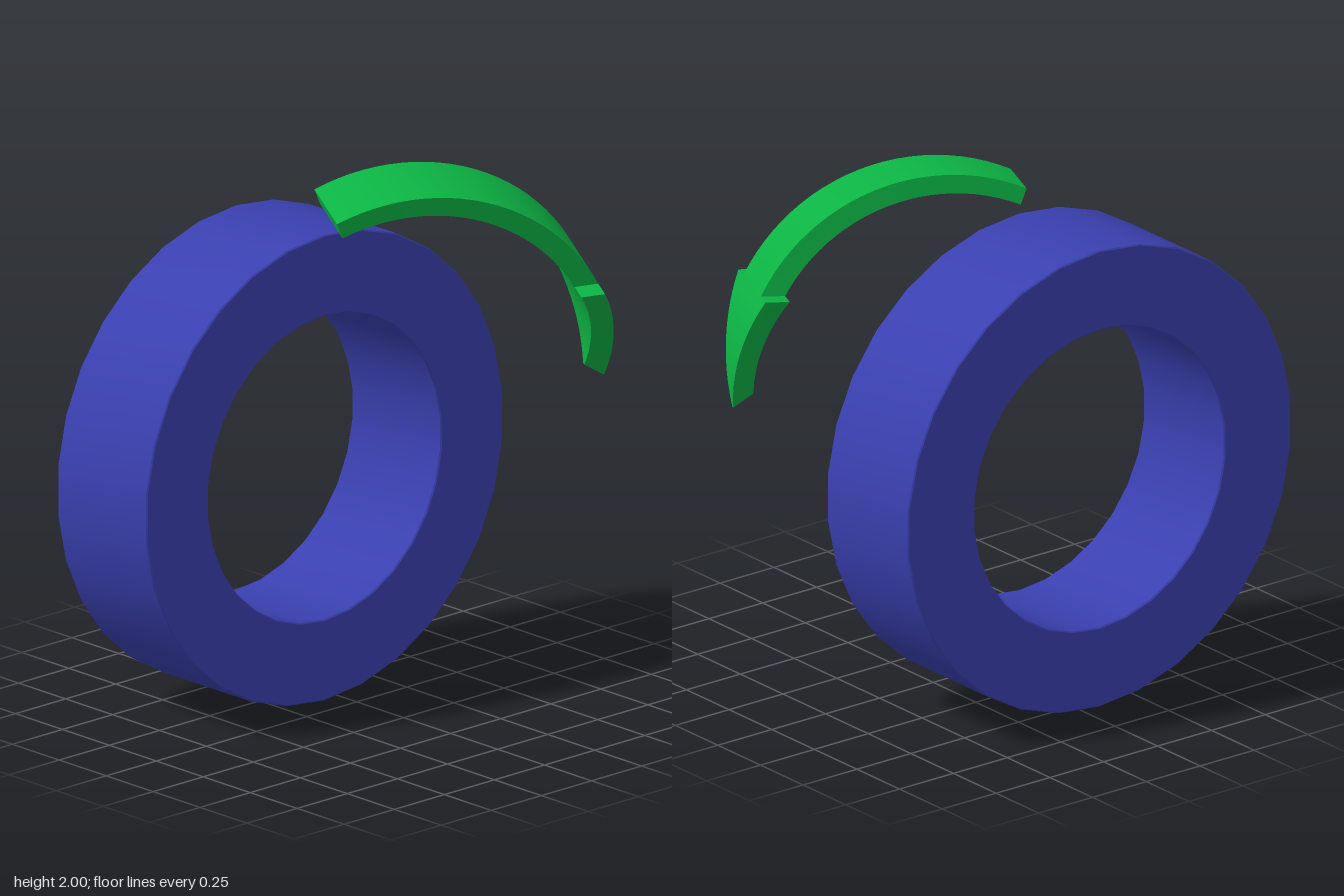
import * as THREE from 'three';
import { toCreasedNormals } from 'three/addons/utils/BufferGeometryUtils.js';

const rad = THREE.MathUtils.degToRad;
const RADIUS = 0.76, CENTRE_U = 0.212, CENTRE_V = 1.203;

// Four corners of the arrow's cross-section at an arc angle (0 is the top)
function section(deg, half) {
  const k = Math.min((deg + 25.5) / 87.5, 1);
  const arc = rad(deg), cut = rad(deg + 4 + 21 * k);
  const thick = 0.064 + 0.026 * k;
  const ou = CENTRE_U + RADIUS * Math.sin(arc), ov = CENTRE_V + RADIUS * Math.cos(arc);
  const iu = ou - thick * Math.sin(cut), iv = ov - thick * Math.cos(cut);
  return [[ou, ov, -half], [ou, ov, half], [iu, iv, half], [iu, iv, -half]];
}

// Solid bent plate between two arc angles, with half width changing linearly
function bentPlate(from, to, halfFrom, halfTo, steps) {
  const pos = [];
  const quad = (a, b, c, d) => pos.push(...a, ...b, ...c, ...a, ...c, ...d);
  const rings = [];
  for (let i = 0; i <= steps; i++) {
    const t = i / steps;
    rings.push(section(from + (to - from) * t, halfFrom + (halfTo - halfFrom) * t));
  }
  for (let i = 0; i < steps; i++) {
    for (let k = 0; k < 4; k++) {
      const n = (k + 1) % 4;
      quad(rings[i][k], rings[i][n], rings[i + 1][n], rings[i + 1][k]);
    }
  }
  const s = rings[0], e = rings[steps];
  quad(s[0], s[3], s[2], s[1]);
  quad(e[0], e[1], e[2], e[3]);
  const geo = new THREE.BufferGeometry();
  geo.setAttribute('position', new THREE.Float32BufferAttribute(pos, 3));
  return toCreasedNormals(geo, 0.6);
}

export function createModel() {
  const blue = new THREE.MeshStandardMaterial({ color: 0x3a40b0 });
  blue.name = 'blue';
  const green = new THREE.MeshStandardMaterial({ color: 0x0cb444 });
  green.name = 'green';
  const model = new THREE.Group();
  model.name = 'ringWithArrow';

  // Thick faceted ring with tiny bevels
  const outer = 0.893, inner = 0.582, h = 0.2385, b = 0.005;
  const profile = [
    [outer, -h + b], [outer, h - b], [outer - b, h], [inner + b, h],
    [inner, h - b], [inner, -h + b], [inner + b, -h], [outer - b, -h], [outer, -h + b],
  ].map(([x, y]) => new THREE.Vector2(x, y));
  const ring = new THREE.Mesh(toCreasedNormals(new THREE.LatheGeometry(profile, 30), 0.6), blue);
  ring.name = 'ring';
  ring.rotation.x = Math.PI / 2;
  ring.position.set(-0.075, outer, -0.328);
  model.add(ring);

  // Curved arrow, bent about a tilted axis
  const arrow = new THREE.Group();
  arrow.name = 'curvedArrow';
  const axis = new THREE.Vector3(-0.45, -0.13, 0.88).normalize();
  const u = new THREE.Vector3(0, 1, 0).cross(axis).normalize();
  const v = axis.clone().cross(u);
  arrow.quaternion.setFromRotationMatrix(new THREE.Matrix4().makeBasis(u, v, axis));
  arrow.position.copy(axis).multiplyScalar(-0.258);

  const shaft = new THREE.Mesh(bentPlate(-25.5, 62, 0.15, 0.165, 24), green);
  shaft.name = 'arrowShaft';
  const head = new THREE.Mesh(bentPlate(62, 97, 0.255, 0.008, 12), green);
  head.name = 'arrowHead';
  arrow.add(shaft, head);
  model.add(arrow);
  return model;
}
